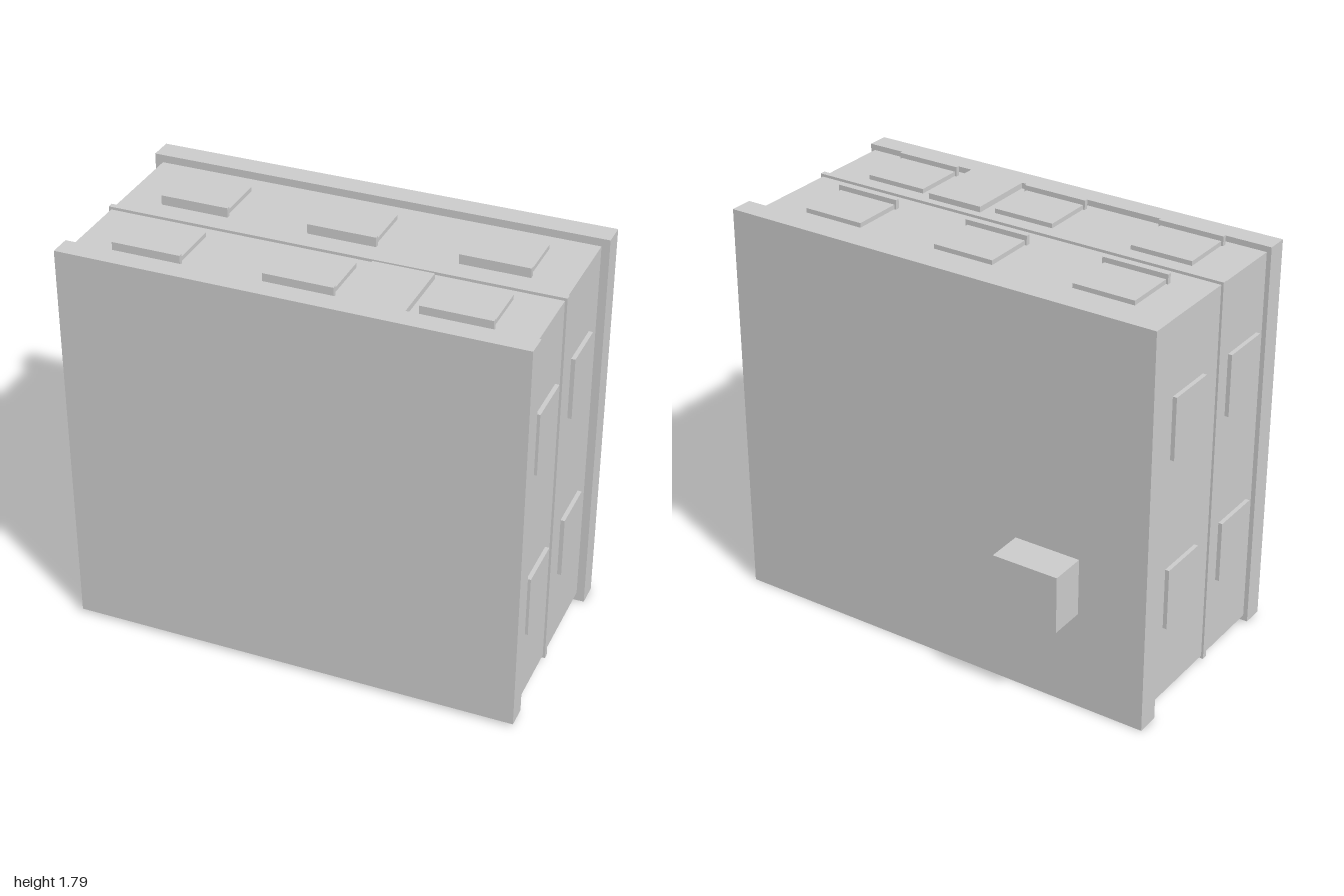
import * as THREE from 'three';

export function createModel() {
  const model = new THREE.Group();
  model.name = 'house';
  const plaster = new THREE.MeshStandardMaterial({ color: 0xcccccc });
  plaster.name = 'plaster grey';

  // Box given by its lower and upper limits on each axis
  const box = (name, [x0, x1], [y0, y1], [z0, z1]) => {
    const mesh = new THREE.Mesh(new THREE.BoxGeometry(x1 - x0, y1 - y0, z1 - z0), plaster);
    mesh.position.set((x0 + x1) / 2, (y0 + y1) / 2, (z0 + z1) / 2);
    mesh.name = name;
    model.add(mesh);
  };

  // The house lies on its back: plinth towards +z, roof towards -z, facade up
  box('walls', [-0.965, 0.965], [0.04, 1.753], [-0.32, 0.49]);
  box('plinth', [-0.985, 0.985], [0.015, 1.778], [0.49, 0.585]);
  box('floorBand', [-0.975, 0.975], [0.027, 1.765], [0.122, 0.147]);
  box('roofSlab', [-1, 1], [0, 1.787], [-0.423, -0.32]);
  box('chimney', [-0.69, -0.39], [0.445, 0.7], [-0.585, -0.423]);
  box('door', [0.193, 0.452], [1.74, 1.778], [0.18, 0.49]);

  // Two storeys of windows on all four walls
  for (const [z0, z1] of [[-0.22, 0.01], [0.21, 0.442]]) {
    for (const x of [-0.647, 0, 0.643]) {
      box('facadeWindow', [x - 0.139, x + 0.139], [1.74, 1.773], [z0, z1]);
      box('windowSill', [x - 0.148, x + 0.148], [1.74, 1.795], [z1, z1 + 0.019]);
      box('rearWindow', [x - 0.139, x + 0.139], [0.02, 0.05], [z0, z1]);
    }
    for (const y of [0.508, 1.282]) {
      box('leftWindow', [0.95, 0.983], [y - 0.138, y + 0.138], [z0, z1]);
      box('rightWindow', [-0.983, -0.95], [y - 0.138, y + 0.138], [z0, z1]);
    }
  }
  return model;
}
